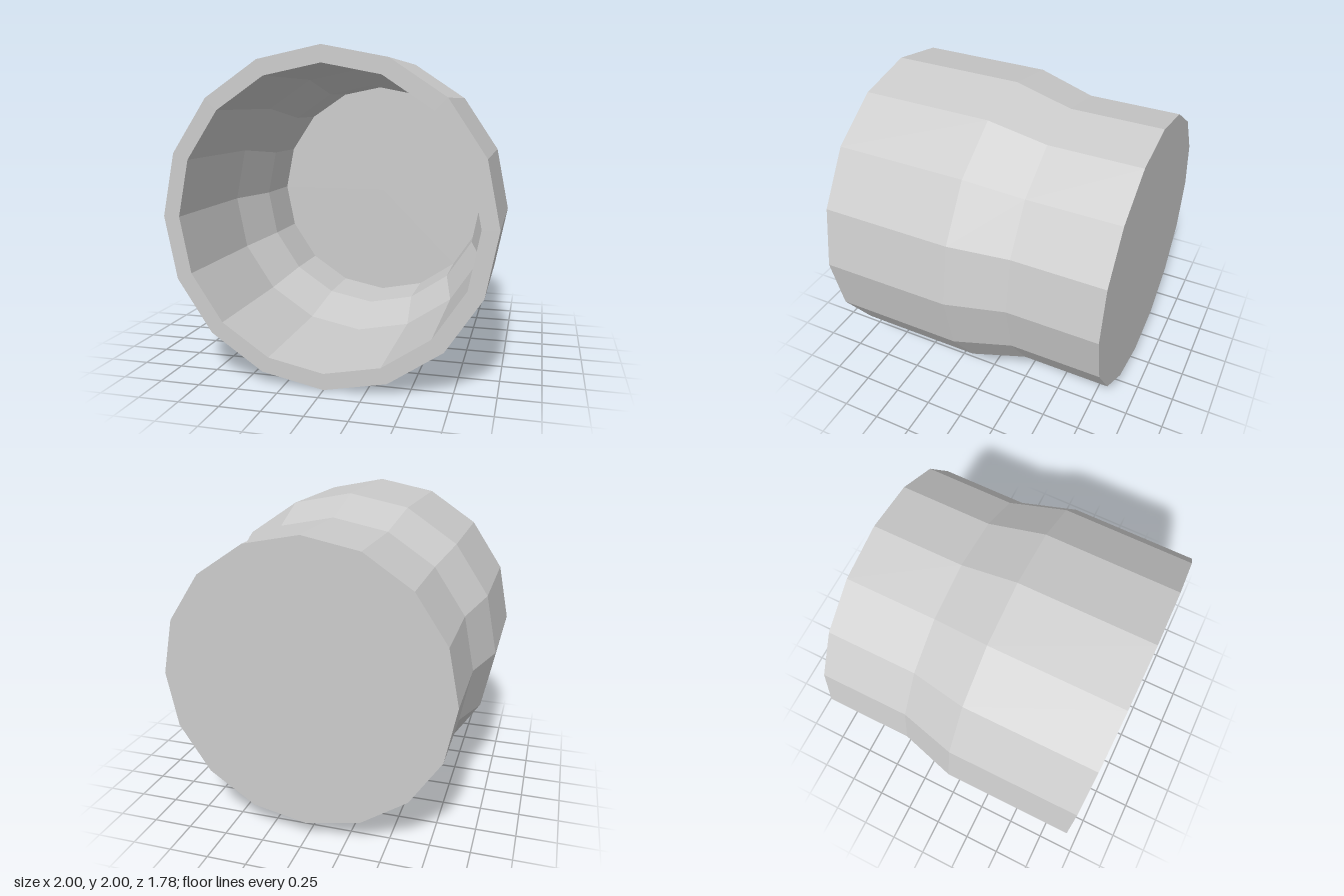
import * as THREE from 'three';

export function createModel() {
  const group = new THREE.Group();
  const material = new THREE.MeshStandardMaterial({ color: 0xcccccc, flatShading: true });

  // Closed wall section [radius, z]: back cap, outer wall, rim, inner wall, floor
  const profile = [
    [0, -0.89], [0.9, -0.89], [0.9, -0.31], [1, 0.05], [1, 0.89],
    [0.9, 0.89], [0.9, 0.05], [0.8, -0.31], [0.8, -0.71], [0, -0.71],
  ].map(([r, z]) => new THREE.Vector2(r, z));

  // Sixteen-sided stepped cup lying on its side, open to the front
  const geometry = new THREE.LatheGeometry(profile, 16);
  geometry.rotateX(Math.PI / 2);
  geometry.translate(0, 1, 0);

  const cup = new THREE.Mesh(geometry, material);
  cup.name = 'steppedCup';
  group.add(cup);
  return group;
}
